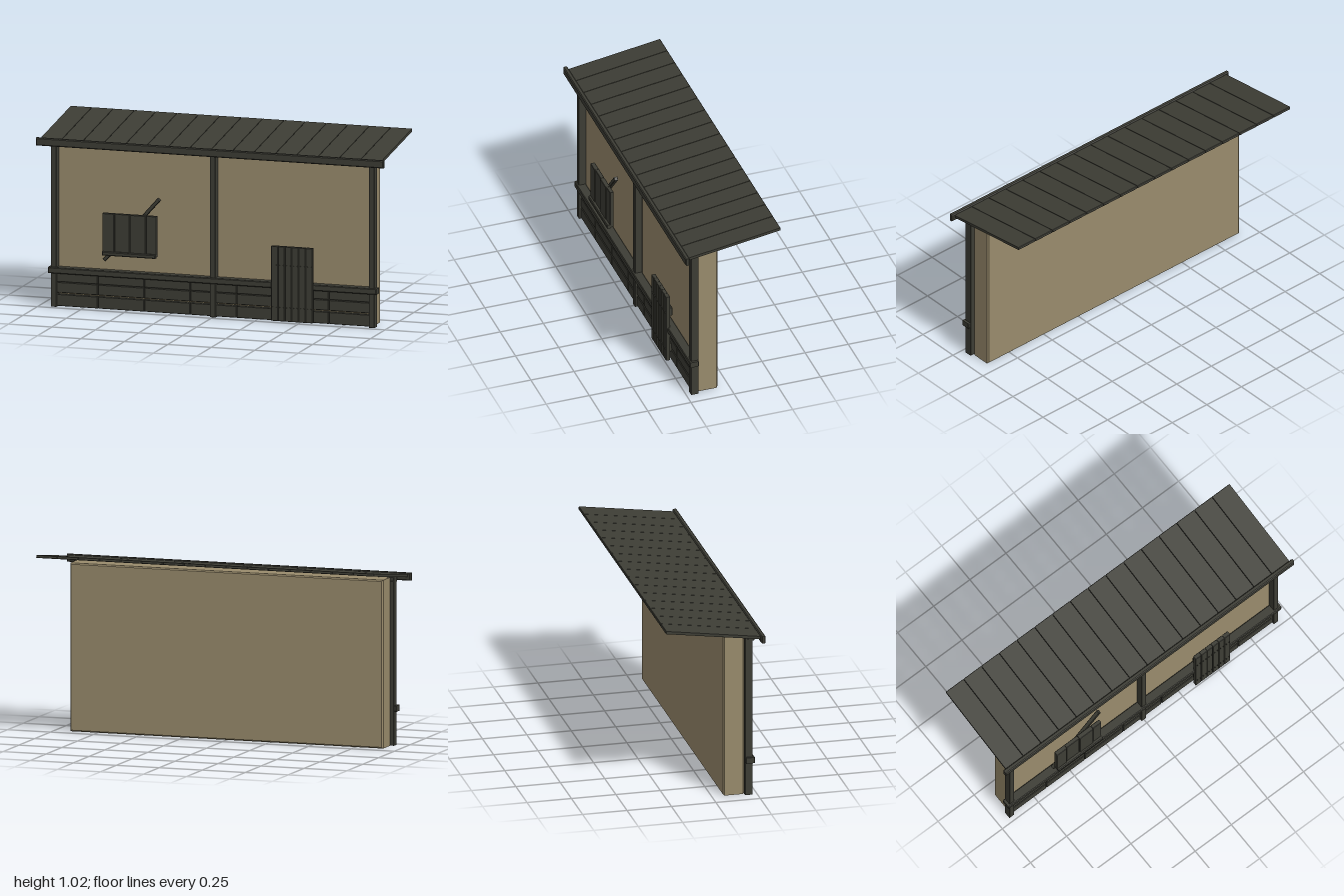
import * as THREE from 'three';

export function createModel() {
  const model = new THREE.Group();
  const wood = new THREE.MeshStandardMaterial({ color: 0x3d3d35 });
  wood.name = 'dark wood';
  const plaster = new THREE.MeshStandardMaterial({ color: 0x998b6c });
  plaster.name = 'tan plaster';

  function group(name) {
    const g = new THREE.Group();
    g.name = name;
    model.add(g);
    return g;
  }

  // Block with slightly bevelled edges, given by its min and max on each axis
  function block(parent, name, [x0, x1], [y0, y1], [z0, z1], material = wood, bevel = 0.002) {
    const w = (x1 - x0) / 2 - bevel, h = (y1 - y0) / 2 - bevel;
    const shape = new THREE.Shape([
      new THREE.Vector2(-w, -h), new THREE.Vector2(w, -h),
      new THREE.Vector2(w, h), new THREE.Vector2(-w, h),
    ]);
    const depth = z1 - z0 - 2 * bevel;
    const geometry = new THREE.ExtrudeGeometry(shape, {
      depth, bevelEnabled: true, bevelSize: bevel, bevelThickness: bevel, bevelSegments: 1,
    });
    geometry.translate(0, 0, -depth / 2);
    const mesh = new THREE.Mesh(geometry, material);
    mesh.name = name;
    mesh.position.set((x0 + x1) / 2, (y0 + y1) / 2, (z0 + z1) / 2);
    parent.add(mesh);
    return mesh;
  }

  // Plastered wall
  block(model, 'wall', [-0.91, 0.91], [0, 0.93], [0.063, 0.182], plaster, 0.007);

  // Timber frame: posts, top beam and waist rail
  const frame = group('timberFrame');
  for (const x of [-0.915, 0, 0.915]) {
    block(frame, 'post', [x - 0.016, x + 0.016], [0, 0.91], [0.181, 0.225]);
  }
  block(frame, 'topBeam', [-0.93, 0.93], [0.9, 0.93], [0.182, 0.235]);
  block(frame, 'waistRail', [-0.945, 0.945], [0.188, 0.221], [0.183, 0.236], wood, 0.004);

  // Lower cladding: three rows of seven boards
  const cladding = group('cladding');
  const columns = 7, pitch = 1.86 / columns;
  for (const [y0, y1] of [[0.004, 0.069], [0.078, 0.136], [0.139, 0.189]]) {
    for (let i = 0; i < columns; i++) {
      const x = -0.93 + i * pitch;
      block(cladding, 'claddingBoard', [x + 0.002, x + pitch - 0.002], [y0, y1], [0.181, 0.212]);
    }
  }

  // Plank door with two cross battens and rows of nails
  const door = group('door');
  const slats = 6, slatWidth = 0.24 / slats;
  for (let i = 0; i < slats; i++) {
    const x = 0.342 + i * slatWidth;
    block(door, 'doorSlat', [x + 0.001, x + slatWidth - 0.001], [0.008, 0.424], [0.222, 0.246]);
  }
  for (const y of [0.085, 0.32]) {
    block(door, 'doorBatten', [0.35, 0.574], [y - 0.025, y + 0.025], [0.206, 0.224]);
    for (let i = 0; i < slats; i++) {
      for (const dx of [-0.01, 0.01]) {
        const nail = new THREE.Mesh(new THREE.CylinderGeometry(0.003, 0.003, 0.006, 6), wood);
        nail.name = 'nail';
        nail.rotation.x = Math.PI / 2;
        nail.position.set(0.342 + (i + 0.5) * slatWidth + dx, y, 0.248);
        door.add(nail);
      }
    }
  }

  // Board shutter with a sill and a diagonal brace behind it
  const shutter = group('shutter');
  const edges = [-0.625, -0.557, -0.468, -0.375, -0.315];
  for (let i = 0; i < 4; i++) {
    block(shutter, 'shutterBoard', [edges[i] + 0.001, edges[i + 1] - 0.001], [0.318, 0.546], [0.23, i % 2 ? 0.252 : 0.256]);
  }
  block(shutter, 'shutterSill', [-0.624, -0.316], [0.313, 0.335], [0.245, 0.269], wood, 0.004);
  const brace = block(shutter, 'shutterBrace', [-0.238, 0.238], [-0.01, 0.01], [0.208, 0.23]);
  brace.position.set(-0.467, 0.458, 0.219);
  brace.rotation.z = Math.atan2(0.345, 0.305);

  // Sloping roof of planks, rising towards the back
  const roof = group('roof');
  const planks = 16, plankPitch = 1.966 / planks;
  for (let i = 0; i < planks; i++) {
    const x = -0.983 + i * plankPitch;
    block(roof, 'roofPlank', [x + 0.0015, x + plankPitch - 0.0015], [-0.008, 0.008], [-0.272, 0.272]);
  }
  roof.position.set(0, 0.971, -0.007);
  roof.rotation.x = Math.atan2(0.08, 0.54);

  // Fascia along the front eave
  block(model, 'eaveFascia', [-1, 1], [0.904, 0.947], [0.256, 0.281], wood, 0.005);

  return model;
}
